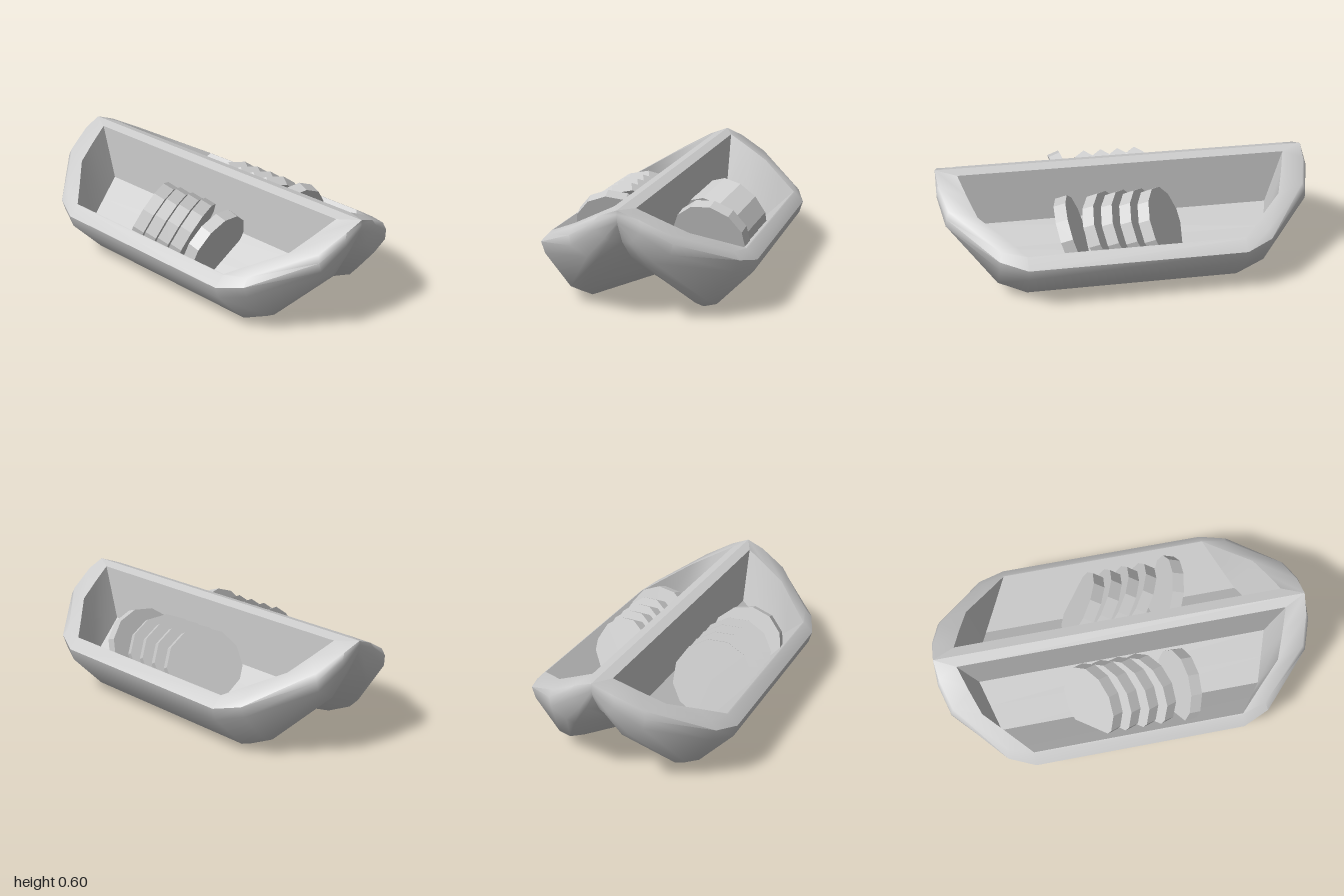
import * as THREE from 'three';
import { toCreasedNormals } from 'three/addons/utils/BufferGeometryUtils.js';

// Cross-sections from the straight side round to the pointed end (x, z > 0).
// Columns: inner floor, opening edge, rim top, rim side, under rim, lower side, keel, centre crease.
const SECTIONS = [
  [[.518, .331, .57], [.518, .331, .57], [.525, .328, .57], [.575, .275, .57], [.555, .21, .57], [.37, .02, .57], [.30, 0, .57], [0, .10, .45]],
  [[.405, .215, .65], [.41, .39, .68], [.485, .348, .70], [.52, .31, .71], [.50, .25, .71], [.36, .09, .72], [.30, .07, .715], [0, .20, .62]],
  [[.295, .10, .73], [.295, .453, .80], [.25, .477, .945], [.26, .44, .96], [.25, .39, .965], [.17, .34, .96], [.13, .32, .95], [0, .30, .80]],
  [[.175, .19, .765], [.175, .517, .845], [.10, .557, .99], [.12, .525, 1], [.11, .49, 1], [.07, .45, .985], [.05, .435, .975], [0, .42, .93]],
  [[.055, .28, .80], [.055, .58, .885], [0, .595, 1], [0, .575, 1], [0, .555, 1], [0, .535, .995], [0, .52, .99], [0, .52, .99]],
];
const flipZ = ([x, y, z]) => [x, y, -z];

// Skins a grid of points; side = -1 mirrors it across x and reverses the winding
function skin(rows, side, crease) {
  const pos = [];
  const tri = (...p) => {
    const [a, b, c] = p.map((q) => new THREE.Vector3(q[0] * side, q[1], q[2]));
    if (b.clone().sub(a).cross(c.clone().sub(a)).length() < 1e-7) return;
    for (const v of side > 0 ? [a, b, c] : [a, c, b]) pos.push(v.x, v.y, v.z);
  };
  for (let i = 0; i < rows.length - 1; i++) {
    for (let j = 0; j < rows[0].length - 1; j++) {
      const a = rows[i][j], b = rows[i + 1][j], c = rows[i + 1][j + 1], d = rows[i][j + 1];
      tri(a, b, c);
      tri(a, c, d);
    }
  }
  const g = new THREE.BufferGeometry();
  g.setAttribute('position', new THREE.Float32BufferAttribute(pos, 3));
  return toCreasedNormals(g, crease);
}

export function createModel() {
  const model = new THREE.Group();
  model.name = 'twinTrough';
  const mat = new THREE.MeshStandardMaterial({ color: 0xcccccc });
  const discMat = new THREE.MeshStandardMaterial({ color: 0xcccccc, flatShading: true });

  const shellRows = [...SECTIONS.map((s) => s.map(flipZ)).reverse(), ...SECTIONS];
  // Floor strips, then the dividing wall and half of the ridge cap
  const last = SECTIONS[4];
  const liningRows = [...SECTIONS.map((s) => s[0]), last[1], last[2]].map((p) => [flipZ(p), p]);

  const discGeo = new THREE.CylinderGeometry(.208, .208, .065, 12);
  const up = new THREE.Vector3(0, 1, 0);

  for (const side of [1, -1]) {
    const label = side > 0 ? 'left' : 'right';
    const shell = new THREE.Mesh(skin(shellRows, side, .95), mat);
    shell.name = label + 'Shell';
    const lining = new THREE.Mesh(skin(liningRows, side, .3), mat);
    lining.name = label + 'FloorAndDivider';
    model.add(shell, lining);

    // Four leaning discs and one steeper disc at the front of each trough
    const discs = new THREE.Group();
    discs.name = label + 'Discs';
    const addDisc = (x, y, z, nx, ny, nz) => {
      const disc = new THREE.Mesh(discGeo, discMat);
      disc.name = 'disc';
      disc.position.set(x * side, y, z);
      disc.quaternion.setFromUnitVectors(up, new THREE.Vector3(nx * side, ny, nz).normalize());
      discs.add(disc);
    };
    const x = side > 0 ? .26 : .283;
    const shift = side > 0 ? 0 : -.04;
    for (let i = 0; i < 4; i++) addDisc(x, .295, -.17 + i * .097 + shift, side > 0 ? .38 : .36, .42, -.82);
    addDisc(x + .005, .29, .305 + shift, side > 0 ? .15 : .1, .32, -.93);
    model.add(discs);
  }
  return model;
}
